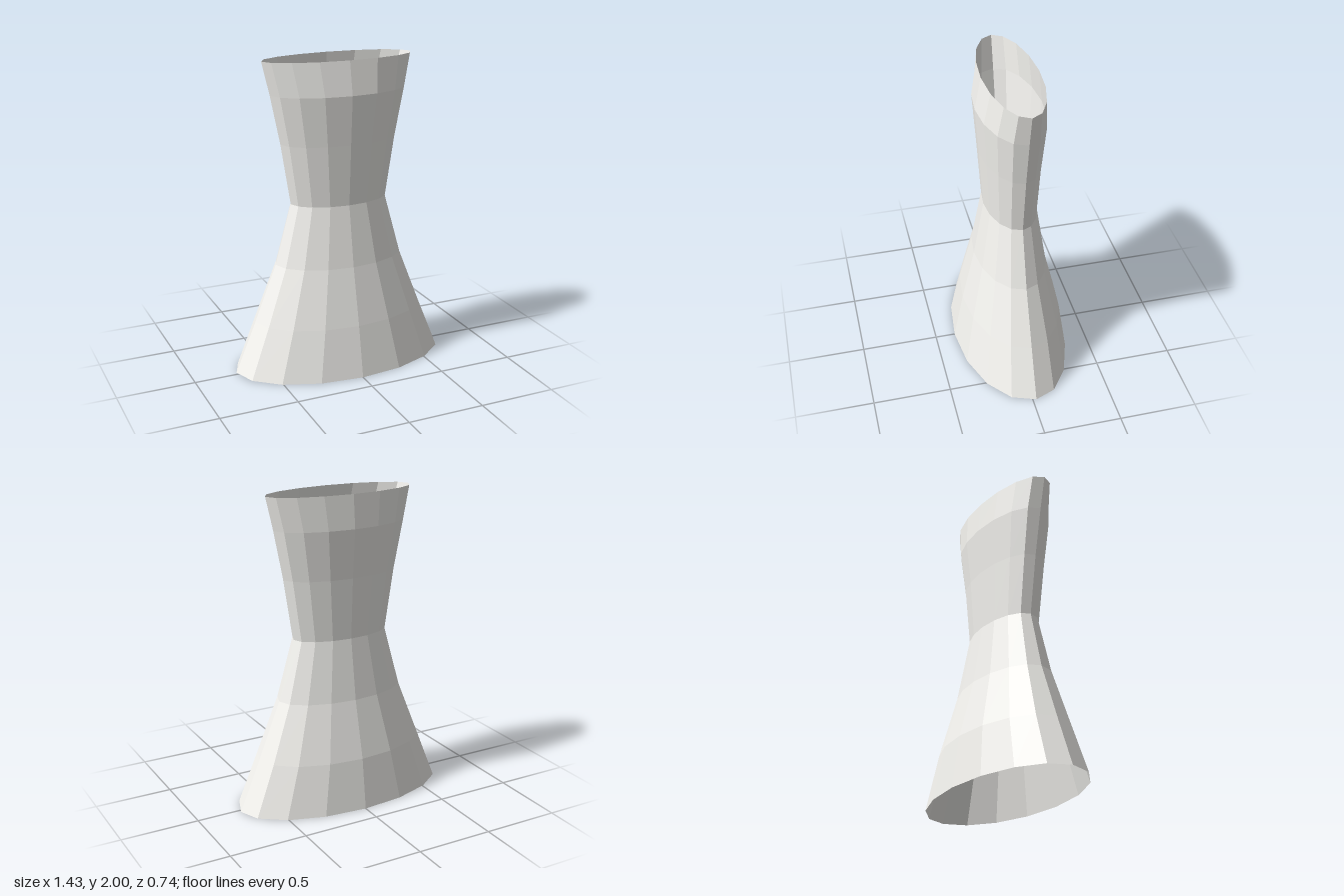
import * as THREE from 'three';

// Cross-sections from hem to top edge: height, half width, front z, back z
const RINGS = [
  [0, 0.717, 0.37, -0.37],
  [0.33, 0.58, 0.305, -0.325],
  [0.7, 0.433, 0.22, -0.234],
  [1.09, 0.325, 0.152, -0.175],
  [1.48, 0.387, 0.175, -0.192],
  [1.79, 0.45, 0.195, -0.216],
  [2, 0.5, 0.155, -0.197],
];
const SIDES = 16;
const SIDE_Z = -0.023; // depth of the side seams

// A ring is two half ellipses meeting at the side seams
function ringPoint([y, halfWidth, front, back], i) {
  const a = (i / SIDES) * Math.PI * 2;
  const c = Math.cos(a);
  const depth = c > 0 ? front - SIDE_Z : SIDE_Z - back;
  return new THREE.Vector3(halfWidth * Math.sin(a), y, SIDE_Z + depth * c);
}

export function createModel() {
  const positions = [];
  const normals = [];

  // One evenly shaded facet per quad between neighbouring rings; both ends stay open
  for (let r = 0; r < RINGS.length - 1; r++) {
    for (let i = 0; i < SIDES; i++) {
      const a = ringPoint(RINGS[r], i);
      const b = ringPoint(RINGS[r], i + 1);
      const c = ringPoint(RINGS[r + 1], i + 1);
      const d = ringPoint(RINGS[r + 1], i);
      const normal = c.clone().sub(a).cross(d.clone().sub(b)).normalize();
      for (const p of [a, b, c, a, c, d]) {
        positions.push(p.x, p.y, p.z);
        normals.push(normal.x, normal.y, normal.z);
      }
    }
  }

  const geometry = new THREE.BufferGeometry();
  geometry.setAttribute('position', new THREE.Float32BufferAttribute(positions, 3));
  geometry.setAttribute('normal', new THREE.Float32BufferAttribute(normals, 3));

  const shell = new THREE.Mesh(geometry, new THREE.MeshStandardMaterial({
    color: 0xf5f4f0, side: THREE.DoubleSide,
  }));
  shell.name = 'waistedShell';

  const group = new THREE.Group();
  group.name = 'flaredTube';
  group.add(shell);
  return group;
}
